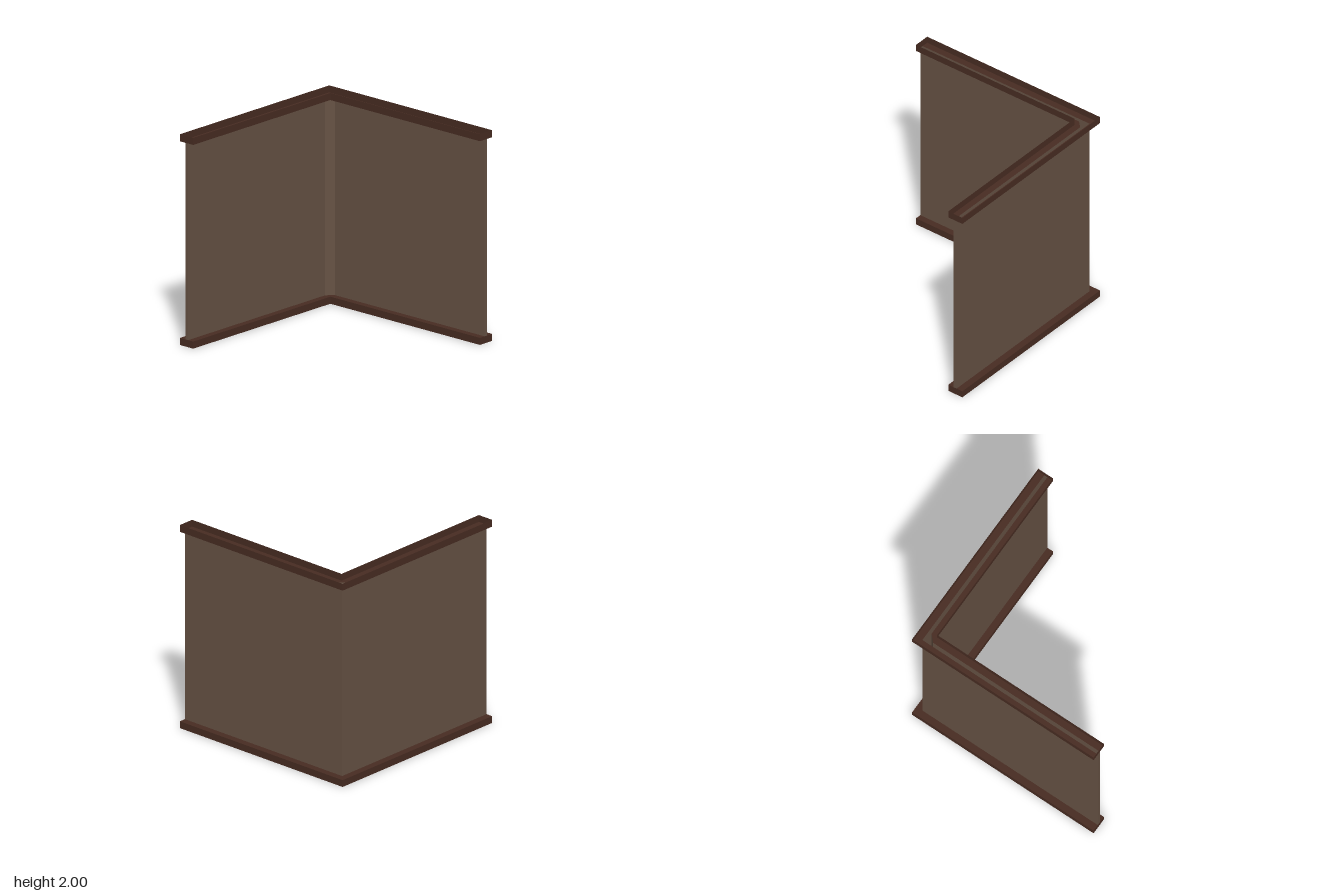
import * as THREE from 'three';

const H = 2, TRIM = 0.067;

// Plan points are [x, z]
const wallOuter = [[-0.933, 1], [-0.933, -0.933], [1, -0.933]];
const wallInner = [[1, -0.9], [-0.837, -0.9], [-0.9, -0.837], [-0.9, 1]];
const trimOuter = [[-1, 1], [-1, -1], [1, -1]];
const trimInner = [[1, -0.837], [-0.837, -0.837], [-0.837, 1]];

// Upright band following a closed plan loop, including its end faces
function band(loop, y0, y1) {
  const pos = [];
  loop.forEach(([ax, az], i) => {
    const [bx, bz] = loop[(i + 1) % loop.length];
    pos.push(bx, y0, bz, ax, y0, az, ax, y1, az);
    pos.push(bx, y0, bz, ax, y1, az, bx, y1, bz);
  });
  const g = new THREE.BufferGeometry();
  g.setAttribute('position', new THREE.Float32BufferAttribute(pos, 3));
  g.computeVertexNormals();
  return g;
}

// Flat horizontal sheet from a plan outline
function sheet(outline, y) {
  const shape = new THREE.Shape(outline.map(([x, z]) => new THREE.Vector2(x, -z)));
  return new THREE.ShapeGeometry(shape).rotateX(-Math.PI / 2).translate(0, y, 0);
}

export function createModel() {
  const wallMat = new THREE.MeshStandardMaterial({ color: 0x665244, side: THREE.DoubleSide });
  wallMat.name = 'wallBrown';
  const trimMat = new THREE.MeshStandardMaterial({ color: 0x482c22, side: THREE.DoubleSide });
  trimMat.name = 'trimDarkBrown';

  const model = new THREE.Group();
  model.name = 'cornerWall';
  const add = (parent, name, geometry, material) => {
    const mesh = new THREE.Mesh(geometry, material);
    mesh.name = name;
    parent.add(mesh);
  };

  // Hollow wall with a chamfered inside corner
  add(model, 'wallPanels', band([...wallOuter, ...wallInner], TRIM, H - TRIM), wallMat);

  // Trims: hollow channels whose ledges meet the wall and whose far side is open
  for (const [name, y0, ledgeY] of [['bottomTrim', 0, TRIM], ['topTrim', H - TRIM, H - TRIM]]) {
    const trim = new THREE.Group();
    trim.name = name;
    add(trim, 'trimSides', band([...trimOuter, ...trimInner], y0, y0 + TRIM), trimMat);
    add(trim, 'outerLedge', sheet([...trimOuter, ...[...wallOuter].reverse()], ledgeY), trimMat);
    add(trim, 'innerLedge', sheet([...wallInner, ...[...trimInner].reverse()], ledgeY), trimMat);
    model.add(trim);
  }
  return model;
}
